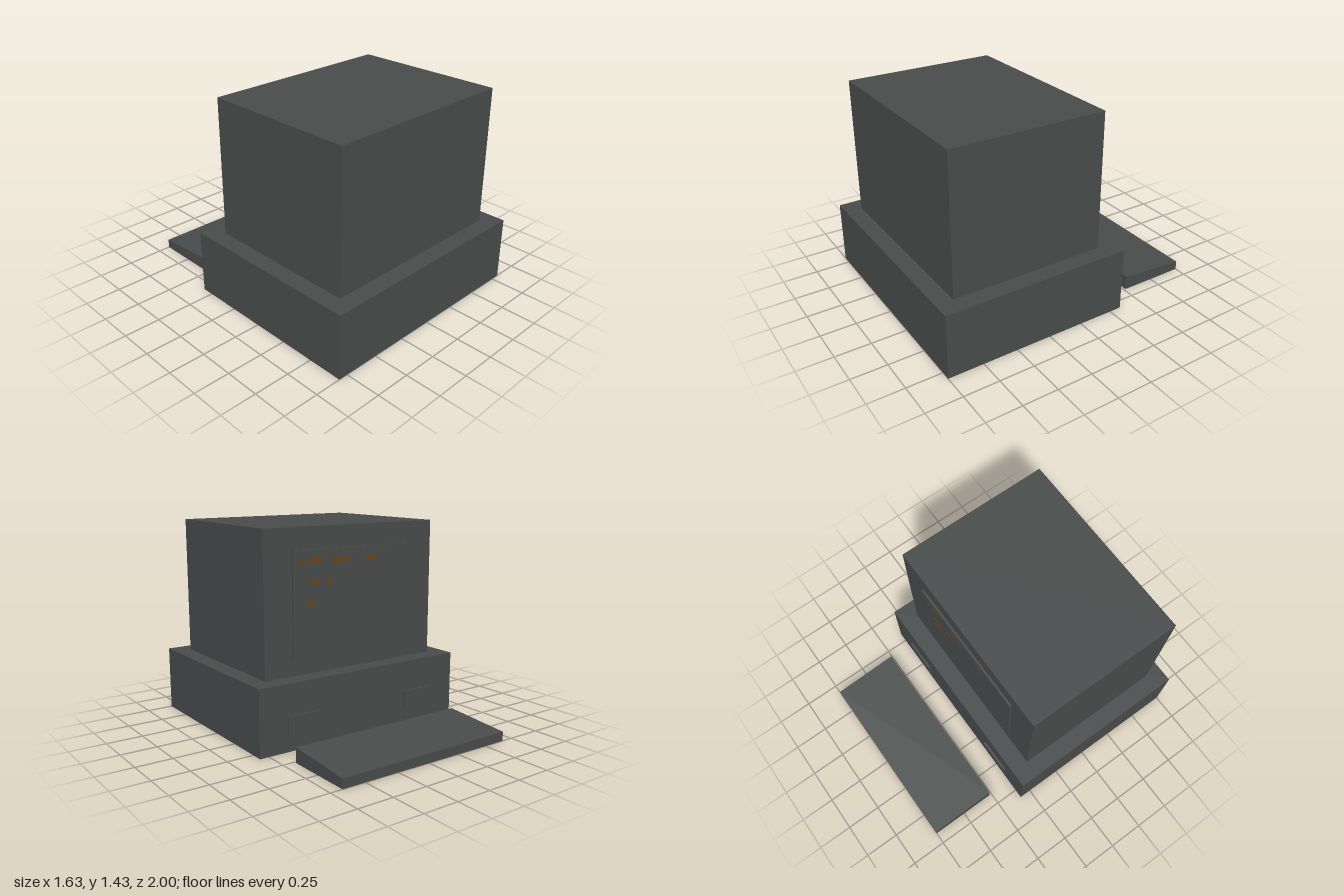
import * as THREE from 'three';

export function createModel() {
  const model = new THREE.Group();
  model.name = 'desktopComputer';

  const casing = new THREE.MeshStandardMaterial({ color: 0x484c4b });
  casing.name = 'charcoal casing';
  const amber = new THREE.MeshStandardMaterial({ color: 0x6e4415 });
  amber.name = 'dim amber';

  const add = (name, geometry, material) => {
    const mesh = new THREE.Mesh(geometry, material);
    mesh.name = name;
    model.add(mesh);
    return mesh;
  };
  // Box given by its lower and upper limits on each axis
  const box = (name, material, [x0, x1], [y0, y1], [z0, z1]) =>
    add(name, new THREE.BoxGeometry(x1 - x0, y1 - y0, z1 - z0), material)
      .position.set((x0 + x1) / 2, (y0 + y1) / 2, (z0 + z1) / 2);

  // System unit with the monitor standing on it; the screen side is -z
  box('systemUnit', casing, [-0.815, 0.815], [0, 0.455], [-0.335, 1]);
  box('monitor', casing, [-0.695, 0.695], [0.455, 1.425], [-0.21, 0.88]);

  // Raised screen panel
  const half = 0.485, top = 1.275, bottom = 0.58, face = -0.225;
  box('screen', casing, [-half, half], [bottom, top], [face, -0.21]);

  // Drive fronts
  box('leftDrive', casing, [0.362, 0.607], [0.12, 0.24], [-0.35, -0.335]);
  box('rightDrive', casing, [-0.607, -0.362], [0.12, 0.24], [-0.35, -0.335]);

  // Glowing dashes: start and end across the screen, and depth from its top
  const dashes = [
    [0.06, 0.10, 0.11], [0.13, 0.24, 0.10], [0.32, 0.46, 0.115], [0.60, 0.70, 0.125],
    [0.14, 0.21, 0.305], [0.27, 0.32, 0.305],
    [0.11, 0.17, 0.50],
  ];
  for (const [u0, u1, v] of dashes) {
    const y = top - v * (top - bottom);
    box('screenDash', amber,
      [half - u1 * 2 * half, half - u0 * 2 * half], [y - 0.015, y + 0.015], [face - 0.002, face]);
  }

  // Wedge keyboard, lower at its far -z edge
  const side = new THREE.Shape([
    new THREE.Vector2(0.515, 0), new THREE.Vector2(1, 0),
    new THREE.Vector2(1, 0.065), new THREE.Vector2(0.515, 0.102),
  ]);
  const wedge = new THREE.ExtrudeGeometry(side, { depth: 1.33, bevelEnabled: false });
  wedge.rotateY(Math.PI / 2).translate(-0.665, 0, 0);
  add('keyboard', wedge, casing);

  return model;
}
